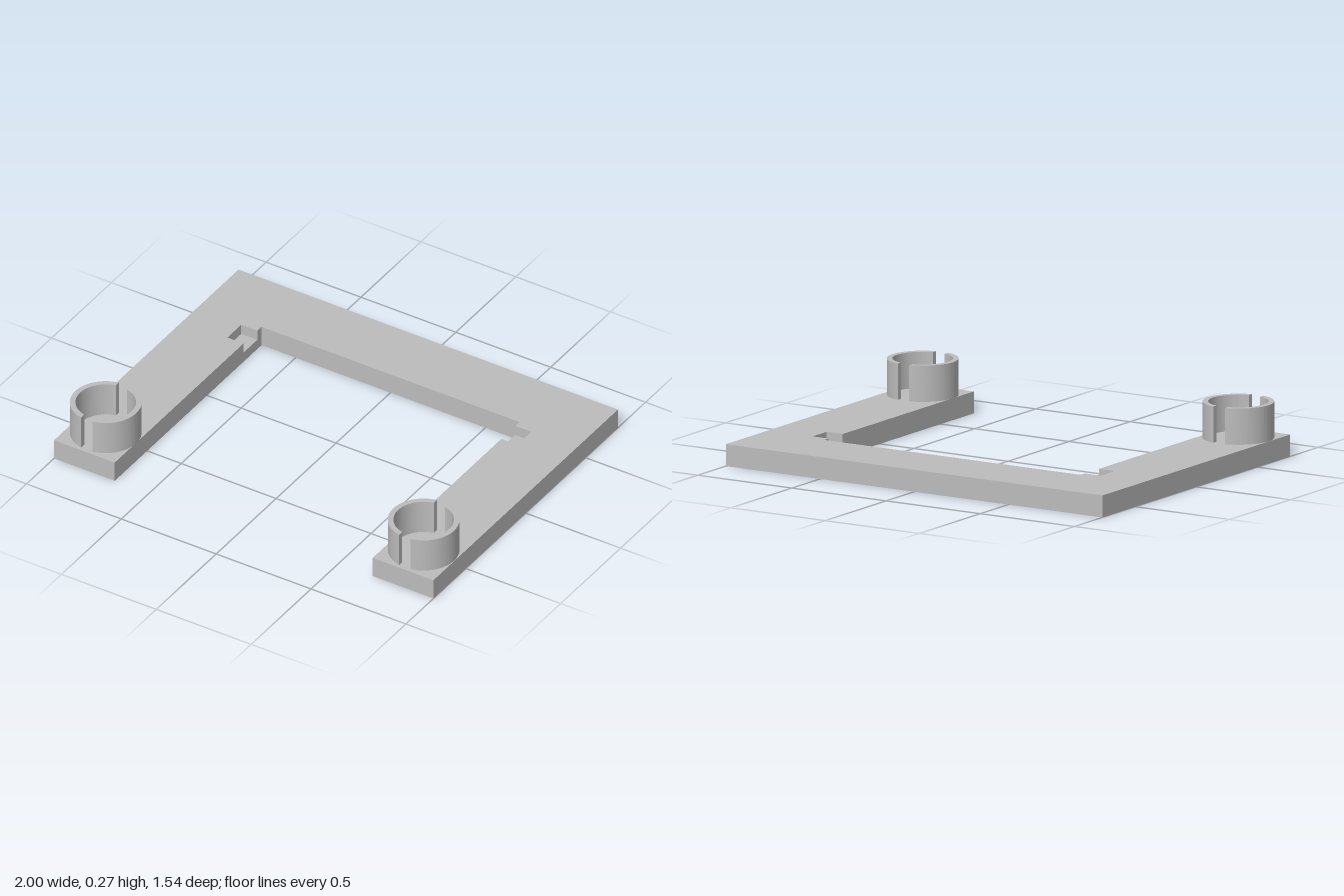
import * as THREE from 'three';
import { toCreasedNormals } from 'three/addons/utils/BufferGeometryUtils.js';

const HEIGHT = 0.1;        // frame thickness
const INNER = 0.68;        // inner side of each arm
const NOTCH = { x: 0.765, z0: -0.42, z1: -0.305, floor: 0.05 };
const CLIP = { x: 0.838, z: 0.595, outer: 0.16, inner: 0.135, gap: 0.03, height: 0.165 };

// Extrude a plan shape (drawn as x, -z) upwards
function extrudeUp(shape, height) {
  const geometry = new THREE.ExtrudeGeometry(shape, { depth: height, bevelEnabled: false, curveSegments: 32 });
  return geometry.rotateX(-Math.PI / 2);
}

// U-shaped plan with a notch cut into the inside of each arm
function frameShape() {
  const half = [
    [1, -0.77], [1, 0.77], [INNER, 0.77], [INNER, NOTCH.z1], [NOTCH.x, NOTCH.z1],
    [NOTCH.x, NOTCH.z0], [INNER, NOTCH.z0], [INNER, -0.455],
  ];
  const mirrored = half.map(([x, z]) => [-x, z]).reverse();
  return new THREE.Shape([...half, ...mirrored].map(([x, z]) => new THREE.Vector2(x, -z)));
}

// Half of a slotted ring, with parallel-sided gaps at front and back
function clipShape() {
  const a = Math.acos(CLIP.gap / CLIP.outer);
  const b = Math.acos(CLIP.gap / CLIP.inner);
  const shape = new THREE.Shape();
  shape.absarc(0, 0, CLIP.outer, -a, a, false);
  shape.absarc(0, 0, CLIP.inner, b, -b, true);
  shape.closePath();
  return shape;
}

export function createModel() {
  const model = new THREE.Group();
  model.name = 'bracket';
  const grey = new THREE.MeshStandardMaterial({ color: 0xbcbcbc });
  grey.name = 'grey';

  const frame = new THREE.Mesh(extrudeUp(frameShape(), HEIGHT), grey);
  frame.name = 'frame';
  model.add(frame);

  const floorGeometry = new THREE.BoxGeometry(NOTCH.x - INNER, NOTCH.floor, NOTCH.z1 - NOTCH.z0);
  const clipGeometry = toCreasedNormals(extrudeUp(clipShape(), CLIP.height), 0.6);

  for (const [side, label] of [[1, 'left'], [-1, 'right']]) {
    // Notch floor
    const floor = new THREE.Mesh(floorGeometry, grey);
    floor.name = label + 'NotchFloor';
    floor.position.set(side * (NOTCH.x + INNER) / 2, NOTCH.floor / 2, (NOTCH.z0 + NOTCH.z1) / 2);
    model.add(floor);

    // Round clip made of two facing halves
    const clip = new THREE.Group();
    clip.name = label + 'Clip';
    clip.position.set(side * CLIP.x, HEIGHT, CLIP.z);
    for (const turn of [0, Math.PI]) {
      const jaw = new THREE.Mesh(clipGeometry, grey);
      jaw.name = turn ? 'clipJawB' : 'clipJawA';
      jaw.rotation.y = turn;
      clip.add(jaw);
    }
    model.add(clip);
  }
  return model;
}
